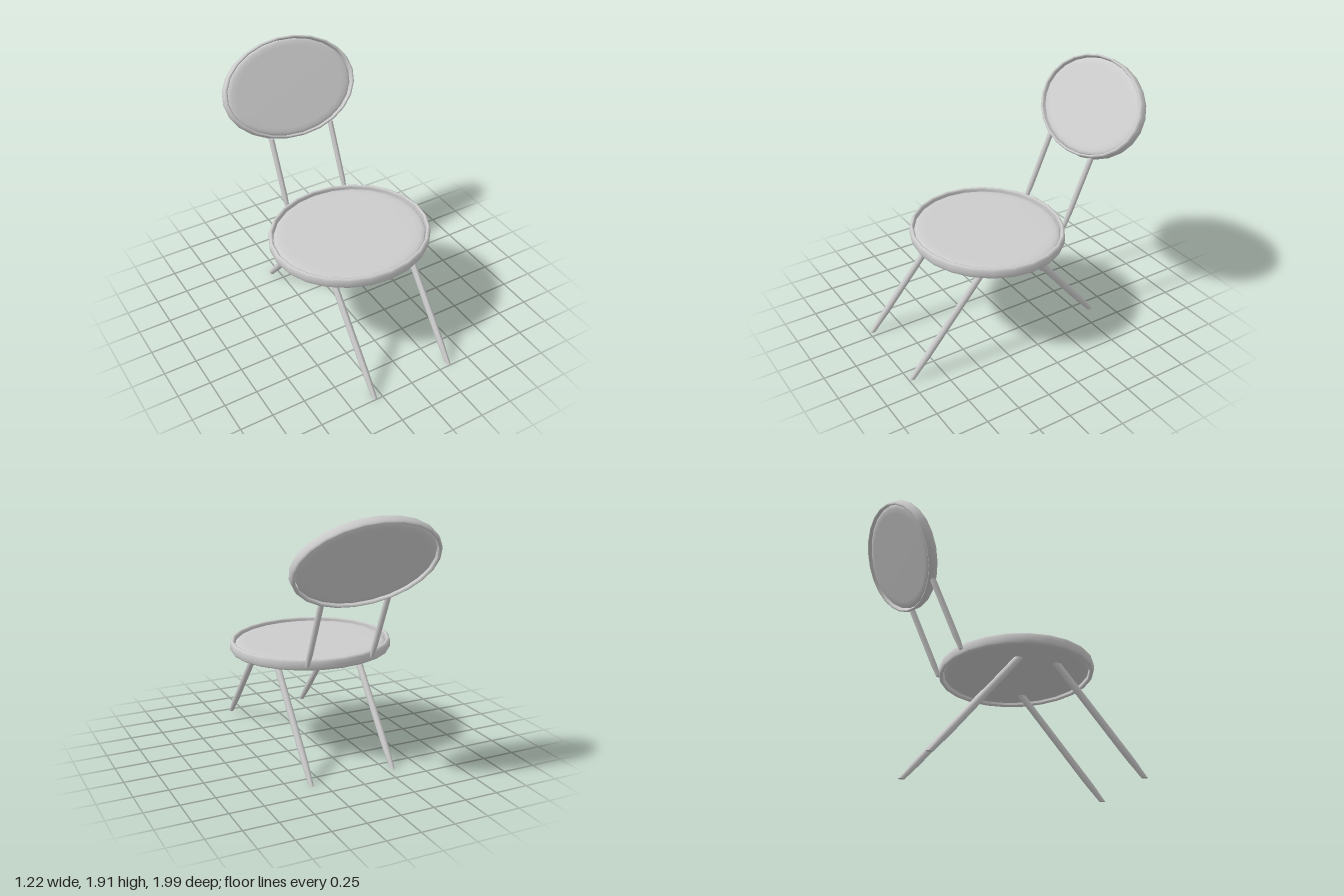
import * as THREE from 'three';

const material = new THREE.MeshStandardMaterial({ color: 0xcccccc, side: THREE.DoubleSide });
const SEGMENTS = 24;

function addMesh(parent, name, geometry) {
  const mesh = new THREE.Mesh(geometry, material);
  mesh.name = name;
  parent.add(mesh);
  return mesh;
}

// Revolved [radius, y] profile stretched to an oval
function oval(profile, rx, rz) {
  const points = profile.map(([r, y]) => new THREE.Vector2(r, y));
  return new THREE.LatheGeometry(points, SEGMENTS).scale(rx, 1, rz);
}

// Rounded hoop with a cushioned panel set just inside it, lying flat around y = 0
function hoopedPanel(name, rx, rz, h) {
  const group = new THREE.Group();
  group.name = name;
  const rim = [
    [0.945, -h * 0.7], [0.955, -h * 0.95], [0.97, -h], [0.985, -h * 0.9], [0.997, -h * 0.6],
    [1, 0],
    [0.997, h * 0.6], [0.985, h * 0.9], [0.97, h], [0.955, h * 0.95], [0.945, h * 0.7],
    [0.945, -h * 0.7],
  ];
  const panel = [
    [0, -h * 0.65], [0.8, -h * 0.65], [0.88, -h * 0.58], [0.925, -h * 0.4], [0.938, -h * 0.15],
    [0.938, h * 0.15], [0.925, h * 0.4], [0.88, h * 0.58], [0.8, h * 0.65], [0, h * 0.65],
  ];
  addMesh(group, name + 'Rim', oval(rim, rx, rz));
  addMesh(group, name + 'Panel', oval(panel, rx, rz));
  return group;
}

// Slanted rod with level-cut ends; the width scale along it comes from taper(t)
function rod(bottom, top, rx, rz, taper) {
  const geometry = new THREE.CylinderGeometry(1, 1, 1, 12, 16);
  const pos = geometry.attributes.position;
  for (let i = 0; i < pos.count; i++) {
    const t = pos.getY(i) + 0.5;
    const s = taper(t);
    pos.setXYZ(
      i,
      pos.getX(i) * rx * s,
      THREE.MathUtils.lerp(bottom[0], top[0], t),
      pos.getZ(i) * rz * s + THREE.MathUtils.lerp(bottom[1], top[1], t)
    );
  }
  geometry.computeVertexNormals();
  return geometry;
}

export function createModel() {
  const chair = new THREE.Group();
  chair.name = 'chair';

  // Round seat
  const seat = hoopedPanel('seat', 0.61, 0.56, 0.04);
  seat.position.set(0, 0.79, 0.13);
  chair.add(seat);

  // Reclined oval backrest
  const back = hoopedPanel('backrest', 0.545, 0.377, 0.036);
  back.position.set(0.015, 1.575, -0.772);
  back.rotation.x = THREE.MathUtils.degToRad(58.6);
  chair.add(back);

  // Splayed legs narrowing at the feet, [y, z] ends
  const foot = (t) => 0.72 + 0.28 * THREE.MathUtils.smoothstep(t, 0, 0.18);
  for (const [side, x] of [['right', -0.305], ['left', 0.34]]) {
    const front = rod([0, 0.972], [0.775, 0.31], 0.024, 0.034, foot);
    addMesh(chair, side + 'FrontLeg', front).position.x = x;
    const rear = rod([0, -0.603], [0.775, 0.035], 0.024, 0.034, foot);
    addMesh(chair, side + 'RearLeg', rear).position.x = x;
  }

  // Slim posts joining the seat rim to the backrest
  const post = (t) => 0.75 + 0.25 * THREE.MathUtils.smoothstep(t, 0, 0.2);
  for (const [side, x] of [['right', -0.245], ['left', 0.262]]) {
    const geometry = rod([0.785, -0.378], [1.295, -0.602], 0.02, 0.024, post);
    addMesh(chair, side + 'BackPost', geometry).position.x = x;
  }

  return chair;
}
